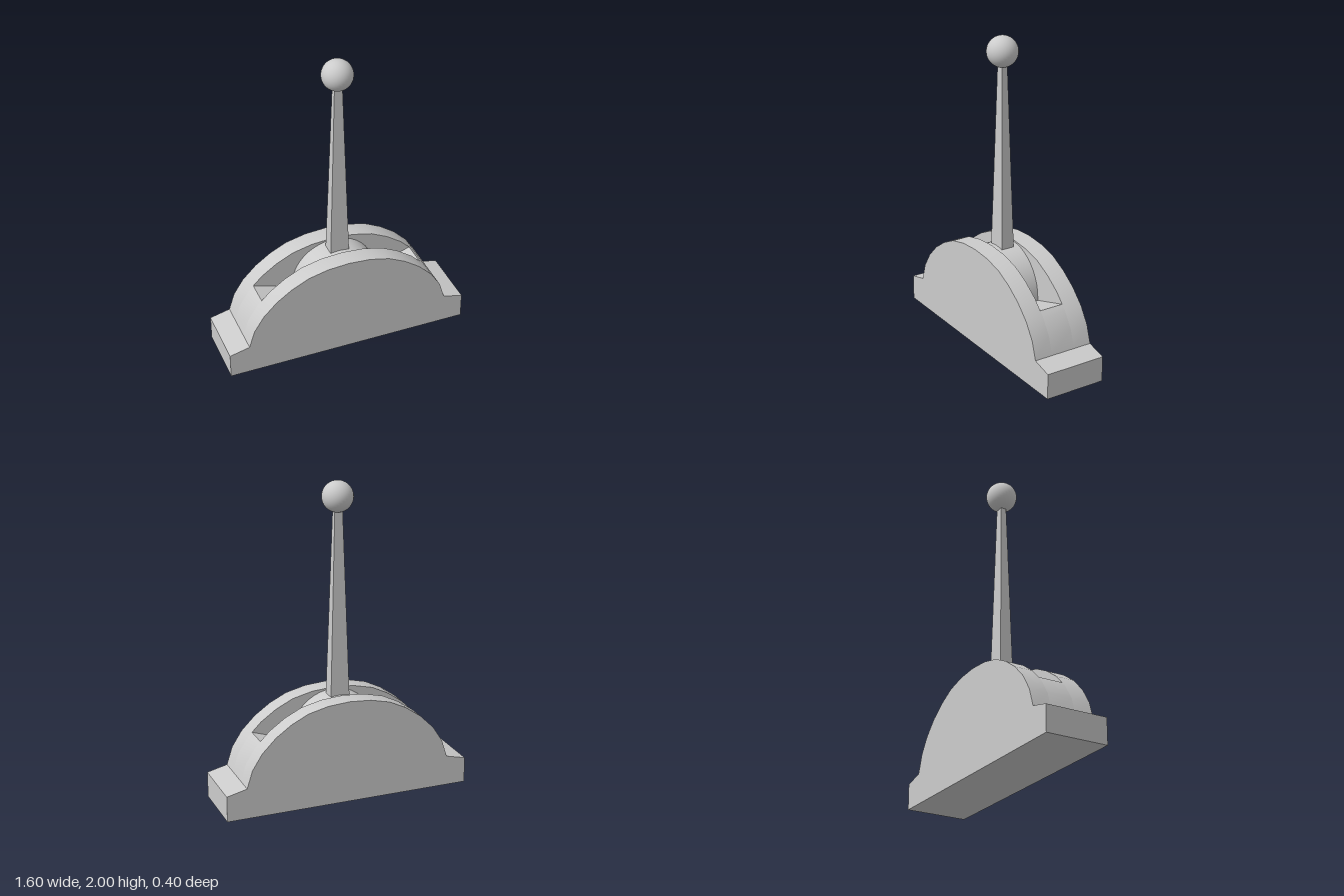
import * as THREE from 'three';
import { toCreasedNormals } from 'three/addons/utils/BufferGeometryUtils.js';

const grey = new THREE.MeshStandardMaterial({ color: 0xcccccc });

function add(group, name, geometry) {
  const mesh = new THREE.Mesh(geometry, grey);
  mesh.name = name;
  group.add(mesh);
  return mesh;
}

// Slab between two z values, from the right half of a symmetric profile (bottom to top centre)
function slab(half, z0, z1) {
  const left = half.slice(0, -1).reverse().map(([x, y]) => [-x, y]);
  const shape = new THREE.Shape([...half, ...left].map(([x, y]) => new THREE.Vector2(x, y)));
  const geometry = new THREE.ExtrudeGeometry(shape, { depth: z1 - z0, bevelEnabled: false });
  geometry.translate(0, 0, z0);
  return toCreasedNormals(geometry, 0.5);
}

export function createModel() {
  const model = new THREE.Group();
  model.name = 'lever';

  // Arched housing: two cheeks beside a slotted core
  const foot = [[0.8, 0], [0.8, 0.165], [0.67, 0.197]];
  const lowerArc = [[0.634, 0.31], [0.57, 0.41]];
  const upperArc = [[0.48, 0.5], [0.38, 0.57], [0.27, 0.624], [0.14, 0.655], [0, 0.665]];
  const outer = [...foot, ...lowerArc, ...upperArc];
  const housing = new THREE.Group();
  housing.name = 'housing';
  add(housing, 'frontCheek', slab(outer, 0.08, 0.2));
  add(housing, 'backCheek', slab(outer, -0.2, -0.08));

  // Core: sloping slot floors and the rounded pivot drum
  const core = [...foot, ...lowerArc, [0.54, 0.44], [0.28, 0.357]];
  for (let i = 0; i <= 10; i++) {
    const a = (i / 10) * Math.PI / 2;
    core.push([i === 10 ? 0 : 0.28 * Math.cos(a), 0.375 + 0.28 * Math.sin(a)]);
  }
  add(housing, 'slotCore', slab(core, -0.08, 0.08));
  model.add(housing);

  // Tapered four-sided lever rod
  const rod = new THREE.BoxGeometry(1, 1.2, 1);
  const p = rod.attributes.position;
  for (let i = 0; i < p.count; i++) {
    const top = p.getY(i) > 0;
    p.setX(i, p.getX(i) * (top ? 0.05 : 0.124));
    p.setZ(i, p.getZ(i) * (top ? 0.036 : 0.088));
  }
  rod.computeVertexNormals();
  add(model, 'leverRod', rod).position.y = 1.235;

  // Ball knob
  add(model, 'ballKnob', new THREE.SphereGeometry(0.097, 32, 24)).position.y = 1.903;

  return model;
}
